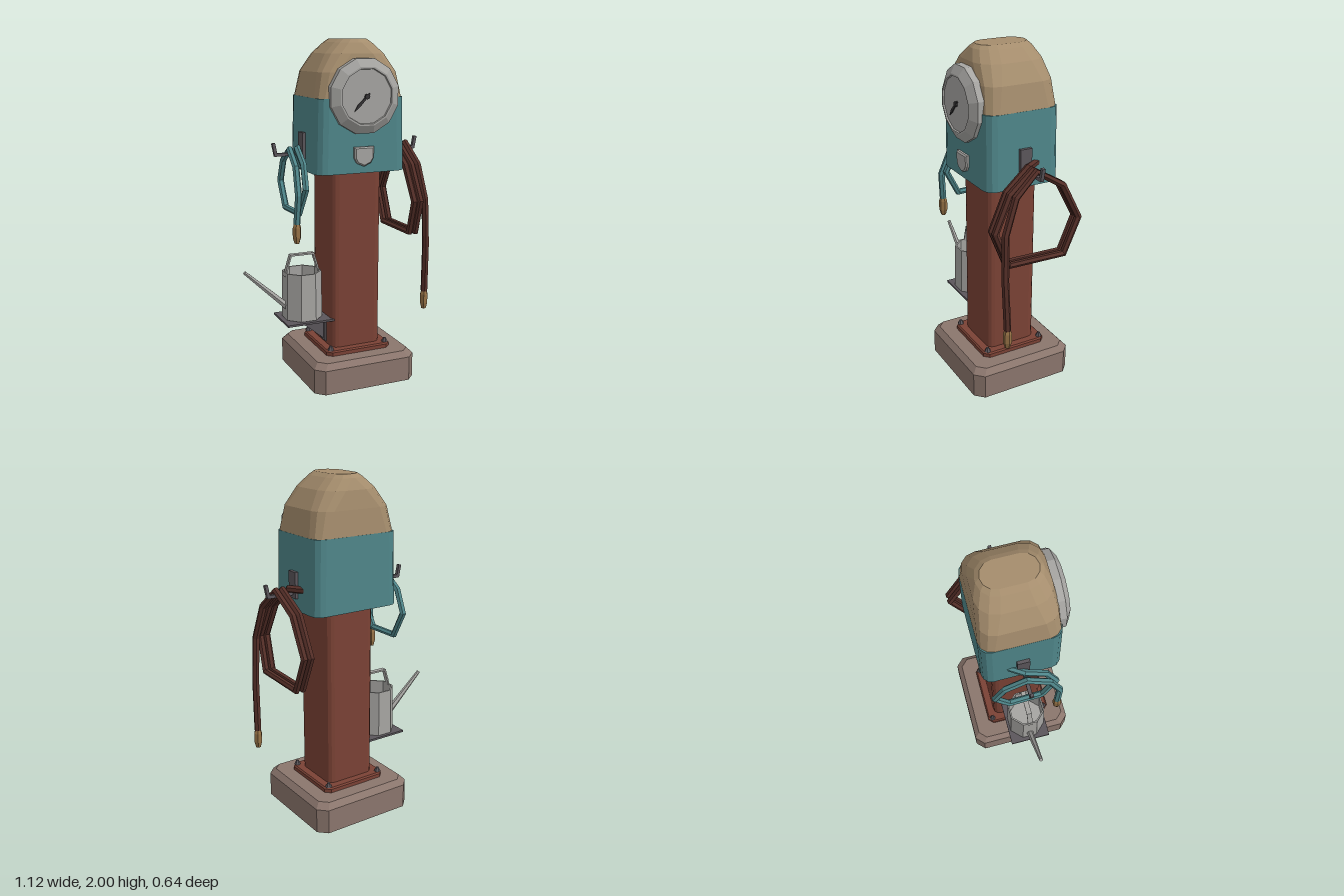
import * as THREE from 'three';

const mat = (name, color) => Object.assign(new THREE.MeshStandardMaterial({ color }), { name });

// Faceted shading baked into the geometry
function flat(geo) {
  const g = geo.index ? geo.toNonIndexed() : geo;
  g.computeVertexNormals();
  return g;
}

// Stack of rounded rectangles [y, halfX, halfZ, cornerRadius], capped at both ends
function loft(sections, steps) {
  const pos = [], idx = [], n = 4 * (steps + 1);
  for (const [y, hx, hz, r] of sections) {
    for (let c = 0; c < 4; c++) {
      const sx = c === 0 || c === 3 ? 1 : -1, sz = c < 2 ? 1 : -1;
      for (let s = 0; s <= steps; s++) {
        const a = (c + s / steps) * Math.PI / 2;
        pos.push(sx * (hx - r) + r * Math.cos(a), y, sz * (hz - r) + r * Math.sin(a));
      }
    }
  }
  const last = (sections.length - 1) * n, bottom = pos.length / 3, top = bottom + 1;
  pos.push(0, sections[0][0], 0, 0, sections.at(-1)[0], 0);
  for (let i = 0; i < n; i++) {
    const j = (i + 1) % n;
    for (let k = 0; k < last; k += n) {
      idx.push(k + i, k + n + i, k + n + j, k + i, k + n + j, k + j);
    }
    idx.push(bottom, i, j, top, last + j, last + i);
  }
  const g = new THREE.BufferGeometry();
  g.setAttribute('position', new THREE.Float32BufferAttribute(pos, 3));
  g.setIndex(idx);
  return flat(g);
}

// Hose with one ring of vertices at each path point
function hoseGeometry(points, radius) {
  const curve = new THREE.CatmullRomCurve3(points.map(p => new THREE.Vector3(...p)));
  curve.getPointAt = curve.getPoint;
  curve.getTangentAt = curve.getTangent;
  return flat(new THREE.TubeGeometry(curve, points.length - 1, radius, 6));
}

const lathe = (pts, sides) =>
  new THREE.LatheGeometry(pts.map(p => new THREE.Vector2(...p)), sides).rotateY(Math.PI / sides);

function extrude(pts, depth, bevel = 0) {
  return new THREE.ExtrudeGeometry(new THREE.Shape(pts.map(p => new THREE.Vector2(...p))), {
    depth, bevelEnabled: bevel > 0, bevelThickness: bevel, bevelSize: bevel, bevelOffset: -bevel, bevelSegments: 1,
  });
}

export function createModel() {
  const stone = mat('stone', 0x8b766d);
  const red = mat('red paint', 0x7b4235);
  const teal = mat('teal paint', 0x4f868a);
  const tan = mat('tan dome', 0xa58d6d);
  const darkHose = mat('dark hose', 0x552f28);
  const iron = mat('dark iron', 0x5b565b);
  const steel = mat('light steel', 0xa6a5a2);
  const brass = mat('brass', 0x967246);
  const black = mat('black', 0x353335);
  steel.side = THREE.DoubleSide;

  const model = new THREE.Group();
  const add = (name, geo, material, x = 0, y = 0, z = 0, parent = model) => {
    const m = new THREE.Mesh(geo, material);
    m.name = name;
    m.position.set(x, y, z);
    parent.add(m);
    return m;
  };
  const box = (w, h, d) => new THREE.BoxGeometry(w, h, d);

  // Pump body, centred on its own axis
  const pump = new THREE.Group();
  pump.name = 'pump';
  pump.position.x = 0.1;
  model.add(pump);
  add('base', loft([[0, 0.32, 0.32, 0.05], [0.145, 0.32, 0.32, 0.05], [0.178, 0.29, 0.29, 0.045]], 1), stone, 0, 0, 0, pump);
  add('flange', loft([[0.17, 0.205, 0.205, 0.03], [0.2, 0.205, 0.205, 0.03], [0.208, 0.197, 0.197, 0.03]], 1), red, 0, 0, 0, pump);
  add('column', loft([[0.2, 0.155, 0.155, 0.04], [1.27, 0.155, 0.155, 0.04]], 3), red, 0, 0, 0, pump);
  add('housing', loft([[1.26, 0.276, 0.226, 0.06], [1.68, 0.265, 0.223, 0.06]], 3), teal, 0, 0, 0, pump);
  add('dome', loft([
    [1.68, 0.264, 0.222, 0.075], [1.82, 0.238, 0.213, 0.09], [1.92, 0.175, 0.2, 0.11],
    [1.98, 0.11, 0.172, 0.1], [2, 0.08, 0.15, 0.08]], 3), tan, 0, 0, 0, pump);
  for (const sx of [-1, 1]) for (const sz of [-1, 1]) {
    add('bolt', flat(new THREE.CylinderGeometry(0.008, 0.02, 0.025, 6)), iron, sx * 0.177, 0.22, sz * 0.177, pump);
  }

  // Dial gauge
  const dial = lathe([[0.212, -0.02], [0.212, 0.025], [0.165, 0.055], [0.155, 0.055], [0.152, 0.046], [0, 0.046]], 12);
  add('gauge', flat(dial.rotateX(Math.PI / 2)), steel, 0, 1.69, 0.22, pump);
  const needle = extrude([[-0.075, -0.08], [-0.045, -0.057], [0.02, 0.014], [0.014, 0.02], [-0.057, -0.045]], 0.006);
  add('needle', needle, black, 0, 1.69, 0.267, pump);
  add('needleHub', flat(new THREE.CylinderGeometry(0.015, 0.015, 0.014, 8).rotateX(Math.PI / 2)), black, 0, 1.69, 0.27, pump);

  // Shield badge
  const shield = [[-0.06, 0.055], [-0.06, -0.008], [-0.042, -0.038], [0, -0.056], [0.042, -0.038], [0.06, -0.008], [0.06, 0.055]];
  add('badge', flat(extrude(shield.reverse(), 0.03, 0.008)), steel, 0, 1.355, 0.207, pump);

  // Hose hooks on both sides
  for (const s of [-1, 1]) {
    const hook = new THREE.Group();
    hook.name = s > 0 ? 'leftHook' : 'rightHook';
    hook.position.x = 0.1;
    model.add(hook);
    add('hookPlate', box(0.025, 0.15, 0.07), iron, s * 0.277, 1.405, 0, hook);
    add('hookArm', box(0.17, 0.018, 0.02), iron, s * 0.36, 1.358, 0, hook);
    add('hookTip', box(0.018, 0.075, 0.02), iron, s * 0.447, 1.388, 0, hook).rotation.z = -s * 0.2;
  }

  // Hoses: coil over the hook, then hang at the front; coil points are [z, y]
  const nozzle = flat(lathe([[0, -0.11], [0.015, -0.11], [0.025, -0.075], [0.025, -0.02], [0.018, 0], [0, 0]], 6));
  function hose(name, material, loops, start, x0, pitch, ring, tail, radius) {
    const path = [start];
    for (let l = 0; l < loops; l++) {
      ring.forEach(([z, y], i) => path.push([x0 + pitch * (l + i / ring.length) + Math.sign(pitch) * (1.385 - y) * 0.03, y, z]));
    }
    path.push([x0 + pitch * loops, 1.385, 0], ...tail);
    const g = new THREE.Group();
    g.name = name;
    model.add(g);
    add('hoseTube', hoseGeometry(path, radius), material, 0, 0, 0, g);
    add('nozzle', nozzle, brass, ...tail.at(-1), g);
  }
  hose('leftHose', darkHose, 2, [0.355, 1.385, -0.085], 0.41, 0.04,
    [[0, 1.385], [0.14, 1.27], [0.235, 1.07], [0.16, 0.87], [-0.19, 0.865], [-0.28, 1.07], [-0.17, 1.28]],
    [[0.505, 1.27, 0.13], [0.52, 1.07, 0.2], [0.53, 0.8, 0.205], [0.535, 0.5, 0.192]], 0.021);
  hose('rightHose', teal, 1, [-0.155, 1.385, -0.085], -0.21, -0.045,
    [[0, 1.385], [0.12, 1.31], [0.18, 1.18], [0.1, 1.03], [-0.1, 1.03], [-0.18, 1.18], [-0.12, 1.31]],
    [[-0.268, 1.3, 0.13], [-0.277, 1.15, 0.19], [-0.285, 0.99, 0.18]], 0.02);

  // Shelf on the column
  const shelf = new THREE.Group();
  shelf.name = 'shelf';
  shelf.position.z = 0.02;
  model.add(shelf);
  add('tray', box(0.29, 0.012, 0.25), iron, -0.185, 0.379, 0, shelf);
  add('gusset', extrude([[-0.24, 0.375], [-0.05, 0.22], [-0.05, 0.375]], 0.03), iron, 0, 0, -0.015, shelf);
  add('shelfPlate', box(0.012, 0.16, 0.08), iron, -0.058, 0.3, 0, shelf);

  // Watering can
  const can = new THREE.Group();
  can.name = 'wateringCan';
  can.position.set(-0.196, 0.385, 0.02);
  model.add(can);
  add('canBody', flat(lathe([[0, 0.004], [0.12, 0.004], [0.115, 0.285], [0.105, 0.285], [0.108, 0.1], [0, 0.1]], 8)), steel, 0, 0, 0, can);
  const from = new THREE.Vector3(-0.09, 0.07, 0), to = new THREE.Vector3(-0.35, 0.31, 0);
  const dir = to.clone().sub(from);
  const spout = add('spout', flat(new THREE.CylinderGeometry(0.011, 0.022, dir.length(), 6)), steel, 0, 0, 0, can);
  spout.position.copy(from).lerp(to, 0.5);
  spout.quaternion.setFromUnitVectors(new THREE.Vector3(0, 1, 0), dir.normalize());
  // Bent strip handle
  const handle = [[-0.11, 0.26], [-0.098, 0.31], [-0.074, 0.388], [0.074, 0.388], [0.098, 0.31], [0.11, 0.26],
    [0.1, 0.26], [0.088, 0.31], [0.067, 0.378], [-0.067, 0.378], [-0.088, 0.31], [-0.1, 0.26]];
  add('handle', extrude(handle.reverse(), 0.03), steel, 0, 0, -0.015, can);

  return model;
}
